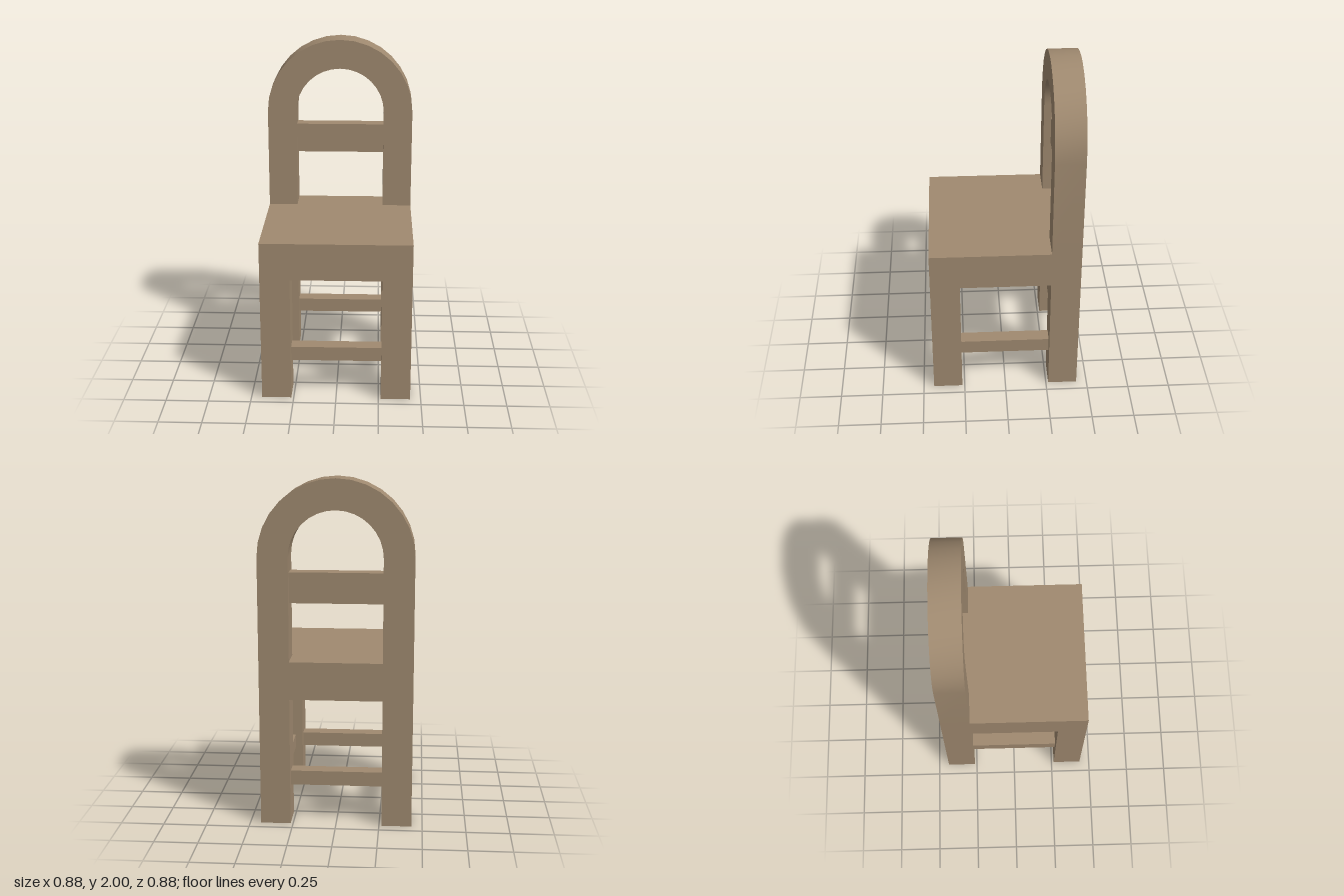
import * as THREE from 'three';
import { toCreasedNormals } from 'three/addons/utils/BufferGeometryUtils.js';

const HALF = 0.4375;               // half width and half depth
const POST = 0.173;                // thickness of legs and back posts
const INNER = HALF - POST;         // inner face of the legs
const MID = HALF - POST / 2;       // leg centre line
const SEAT_BOTTOM = 0.75, SEAT_TOP = 0.97;
const ARCH_Y = 2 - HALF;           // centre height of the arch
const RAIL = 0.085;                // stretcher thickness

export function createModel() {
  const chair = new THREE.Group();
  chair.name = 'chair';
  const wood = new THREE.MeshStandardMaterial({ color: 0xa08a70 });

  const add = (name, geometry, x, y, z) => {
    const mesh = new THREE.Mesh(geometry, wood);
    mesh.name = name;
    mesh.position.set(x, y, z);
    chair.add(mesh);
  };
  const box = (name, w, h, d, x, y, z) => add(name, new THREE.BoxGeometry(w, h, d), x, y, z);

  // Seat block
  box('seat', 2 * HALF, SEAT_TOP - SEAT_BOTTOM, 2 * HALF, 0, (SEAT_TOP + SEAT_BOTTOM) / 2, 0);

  // Four square legs
  for (const [side, sx] of [['Left', 1], ['Right', -1]]) {
    for (const [end, sz] of [['front', 1], ['back', -1]]) {
      box(`${end}${side}Leg`, POST, SEAT_BOTTOM, POST, sx * MID, SEAT_BOTTOM / 2, sz * MID);
    }
  }

  // Stretchers between the legs on all four sides
  const span = 2 * INNER + 0.01;
  for (const [end, s] of [['front', 1], ['back', -1]]) {
    box(`${end}Stretcher`, span, RAIL, RAIL, 0, 0.267, s * MID);
  }
  for (const [side, s] of [['left', 1], ['right', -1]]) {
    box(`${side}Stretcher`, RAIL, RAIL, span, s * MID, 0.267, 0);
  }

  // Arched back frame: two posts joined by a half ring
  const arch = new THREE.Shape();
  arch.moveTo(HALF, SEAT_TOP);
  arch.lineTo(HALF, ARCH_Y);
  arch.absarc(0, ARCH_Y, HALF, 0, Math.PI, false);
  arch.lineTo(-HALF, SEAT_TOP);
  arch.lineTo(-INNER, SEAT_TOP);
  arch.lineTo(-INNER, ARCH_Y);
  arch.absarc(0, ARCH_Y, INNER, Math.PI, 0, true);
  arch.lineTo(INNER, SEAT_TOP);
  arch.closePath();
  const frame = new THREE.ExtrudeGeometry(arch, { depth: POST, bevelEnabled: false, curveSegments: 8 });
  add('backFrame', toCreasedNormals(frame, 0.6), 0, 0, -HALF);

  // Slat across the back
  box('backSlat', span, 0.175, RAIL, 0, 1.388, -MID);

  return chair;
}
